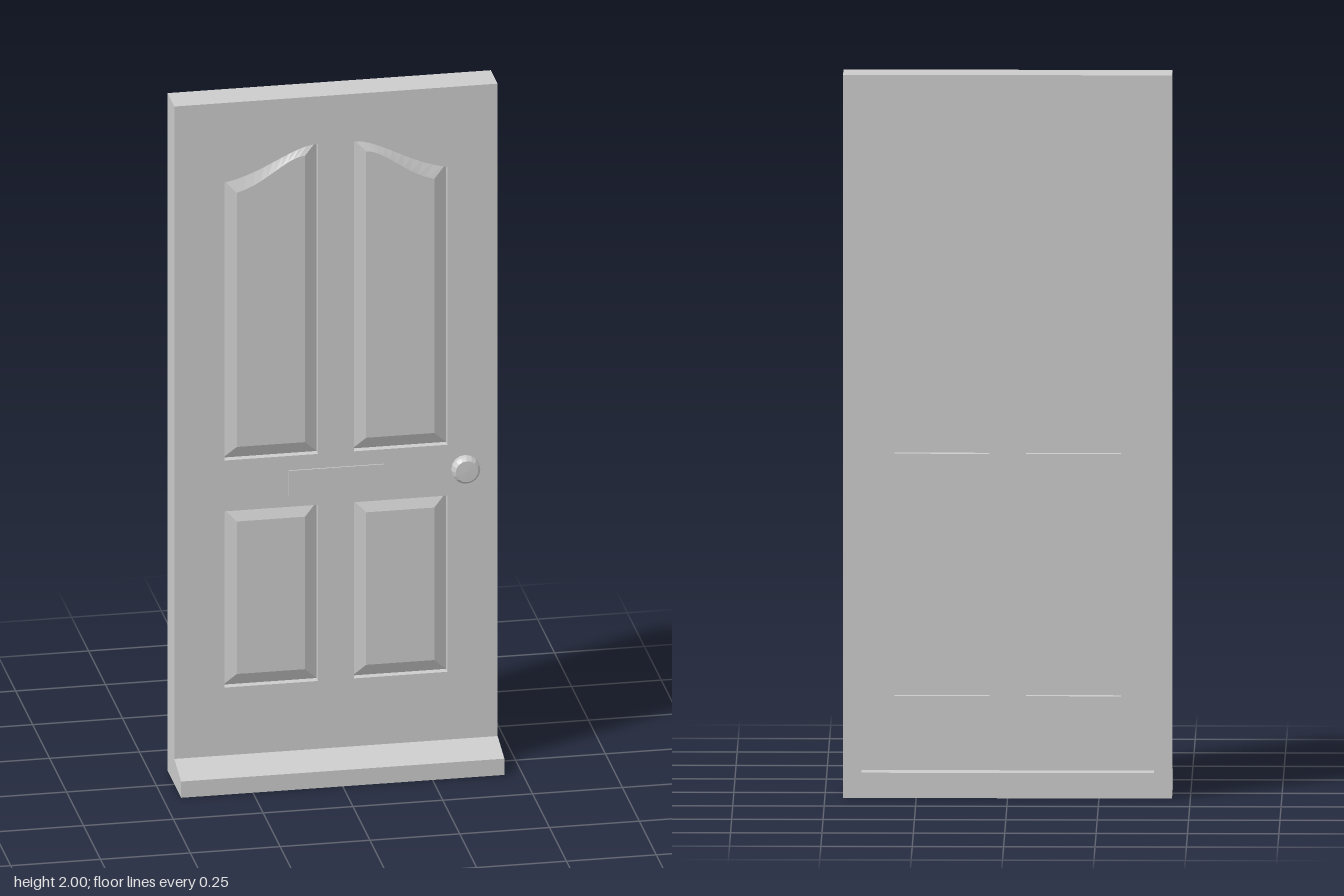
import * as THREE from 'three';

const material = new THREE.MeshStandardMaterial({ color: 0xcccccc, flatShading: true });
const STEPS = 10; // segments along the curved panel tops

// Panel extents on the +x side; rise is how far the top climbs towards the centre
const X_IN = 0.05, X_OUT = 0.31, BEVEL = 0.035;
const panels = [
  { name: 'upperPanel', bottom: 0.945, top: 1.765, rise: 0.095 },
  { name: 'lowerPanel', bottom: 0.275, top: 0.795, rise: 0 },
];

function mesh(name, geometry, x = 0, y = 0, z = 0) {
  const m = new THREE.Mesh(geometry, material);
  m.name = name;
  m.position.set(x, y, z);
  return m;
}

// Counter-clockwise panel outline, side = 1 or -1, shrunk by inset
function outline({ bottom, top, rise }, side, inset = 0) {
  const a = X_IN + inset, b = X_OUT - inset, w = b - a, t = top - inset;
  const pts = [new THREE.Vector2(a, bottom + inset), new THREE.Vector2(b, bottom + inset)];
  if (rise) {
    pts.push(...new THREE.CubicBezierCurve(
      new THREE.Vector2(b, t),
      new THREE.Vector2(b - w * 0.42, t + rise * 0.2),
      new THREE.Vector2(a + w * 0.27, t + rise),
      new THREE.Vector2(a, t + rise)
    ).getPoints(STEPS));
  } else {
    pts.push(new THREE.Vector2(b, t), new THREE.Vector2(a, t));
  }
  return side > 0 ? pts : pts.map(p => new THREE.Vector2(-p.x, p.y)).reverse();
}

function rectangle(Type, x, y0, y1) {
  return new Type([
    new THREE.Vector2(-x, y0), new THREE.Vector2(x, y0),
    new THREE.Vector2(x, y1), new THREE.Vector2(-x, y1),
  ]);
}

function extrude(shape, depth) {
  return new THREE.ExtrudeGeometry(shape, { depth, bevelEnabled: false });
}

// Raised panel: sloping border, flat field and plain back
function buildPanel(spec, side) {
  const group = new THREE.Group();
  group.name = (side > 0 ? 'left' : 'right') + spec.name[0].toUpperCase() + spec.name.slice(1);
  const outer = outline(spec, side), inner = outline(spec, side, BEVEL);
  const zOuter = -0.022, zInner = -0.006, zBack = -0.03;

  const positions = [], n = outer.length;
  for (let i = 0; i < n; i++) {
    const j = (i + 1) % n;
    const a = [outer[i].x, outer[i].y, zOuter], b = [outer[j].x, outer[j].y, zOuter];
    const c = [inner[j].x, inner[j].y, zInner], d = [inner[i].x, inner[i].y, zInner];
    positions.push(...a, ...b, ...c, ...a, ...c, ...d);
  }
  const border = new THREE.BufferGeometry();
  border.setAttribute('position', new THREE.Float32BufferAttribute(positions, 3));
  border.computeVertexNormals();
  group.add(mesh('panelBevel', border));
  group.add(mesh('panelField', new THREE.ShapeGeometry(new THREE.Shape(inner)), 0, 0, zInner));

  // Turned half round, so the opposite side's outline lands in this opening
  const back = new THREE.ShapeGeometry(new THREE.Shape(outline(spec, -side)));
  back.rotateY(Math.PI);
  group.add(mesh('panelBack', back, 0, 0, zBack));
  return group;
}

export function createModel() {
  const door = new THREE.Group();
  door.name = 'door';

  // Door leaf with four panel openings
  const leaf = rectangle(THREE.Shape, 0.45, 0, 2);
  for (const spec of panels) {
    for (const side of [1, -1]) {
      leaf.holes.push(new THREE.Path(outline(spec, side)));
      door.add(buildPanel(spec, side));
    }
  }
  door.add(mesh('doorLeaf', extrude(leaf, 0.05), 0, 0, -0.05));

  // Surrounding frame, standing behind the leaf
  const frame = rectangle(THREE.Shape, 0.45, 0, 2);
  frame.holes.push(rectangle(THREE.Path, 0.4, 0.07, 1.95));
  door.add(mesh('frame', extrude(frame, 0.05), 0, 0, -0.1));

  // Sloping sill along the foot: profile in (z, y), run along x
  const sill = extrude(new THREE.Shape([
    new THREE.Vector2(0, 0), new THREE.Vector2(0, 0.075),
    new THREE.Vector2(-0.1, 0.048), new THREE.Vector2(-0.1, 0),
  ]), 0.9);
  sill.rotateY(Math.PI / 2);
  door.add(mesh('sill', sill, -0.45, 0, 0));

  // Thin letter plate
  door.add(mesh('letterPlate', new THREE.BoxGeometry(0.264, 0.075, 0.004), 0, 0.865, 0.002));

  // Round knob on a short stem
  const knob = new THREE.LatheGeometry([
    [0.018, 0], [0.018, 0.009], [0.03, 0.009], [0.038, 0.016], [0.04, 0.024],
    [0.039, 0.036], [0.031, 0.046], [0, 0.047],
  ].map(([r, h]) => new THREE.Vector2(r, h)), 16);
  knob.rotateX(Math.PI / 2);
  door.add(mesh('knob', knob, 0.356, 0.88, 0));

  return door;
}
